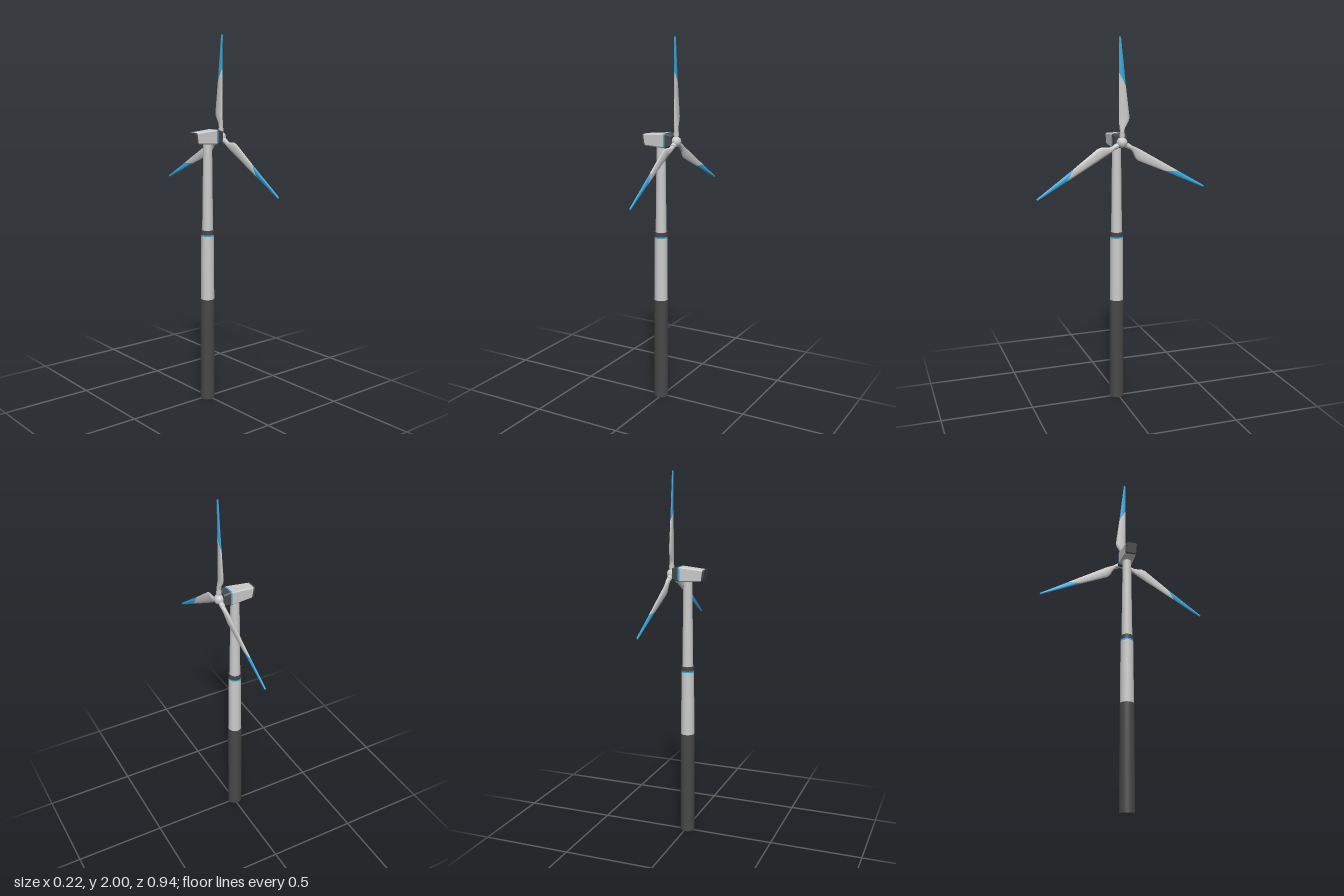
import * as THREE from 'three';
import { toCreasedNormals } from 'three/addons/utils/BufferGeometryUtils.js';

const grey = new THREE.MeshStandardMaterial({ color: 0xcccccc });
const dark = new THREE.MeshStandardMaterial({ color: 0x484848 });
const blue = new THREE.MeshStandardMaterial({ color: 0x3aa8e0 });

const HUB_Y = 1.462;

function add(parent, name, geometry, material) {
  const mesh = new THREE.Mesh(geometry, material);
  mesh.name = name;
  parent.add(mesh);
  return mesh;
}

// Closed skin over rings that run counter-clockwise about the loft direction
function loft(rings, crease) {
  const n = rings[0].length, last = (rings.length - 1) * n, index = [];
  for (let i = 0; i < rings.length - 1; i++) {
    for (let j = 0; j < n; j++) {
      const a = i * n + j, b = i * n + (j + 1) % n;
      index.push(a, b, b + n, a, b + n, a + n);
    }
  }
  for (let j = 1; j < n - 1; j++) {
    index.push(0, j + 1, j, last, last + j, last + j + 1);
  }
  const g = new THREE.BufferGeometry();
  g.setAttribute('position', new THREE.Float32BufferAttribute(rings.flat(2), 3));
  g.setIndex(index);
  return toCreasedNormals(g, crease);
}

// Chamfered rectangle across the nacelle; lean slants the ring in x
function nacelleRing(x, yLow, yHigh, halfZ, lean = 0) {
  const c = 0.006, cy = (yLow + yHigh) / 2, hy = (yHigh - yLow) / 2;
  const corners = [[hy, -halfZ + c], [hy, halfZ - c], [hy - c, halfZ], [-hy + c, halfZ],
    [-hy, halfZ - c], [-hy, -halfZ + c], [-hy + c, -halfZ], [hy - c, -halfZ]];
  return corners.map(([y, z]) => [x - lean * y / hy, cy + y, z]);
}

// Oval blade section between trailing and leading edge; skew lifts the leading edge
function bladeRing(r, trail, lead, halfX, x, skew = 0) {
  const ring = [], n = 12, c = (lead + trail) / 2, a = (lead - trail) / 2;
  for (let i = 0; i < n; i++) {
    const t = (i / n) * Math.PI * 2;
    ring.push([x + halfX * Math.sin(t), r + skew * Math.cos(t), c + a * Math.cos(t)]);
  }
  return ring;
}

function buildTower() {
  const tower = new THREE.Group();
  tower.name = 'tower';
  tower.position.x = -0.008;
  const sections = [
    ['towerBase', 0, 0.575, 0.04, 0.039, dark],
    ['lowerTower', 0.575, 0.93, 0.037, 0.035, grey],
    ['towerBlueRing', 0.93, 0.938, 0.0355, 0.0355, blue],
    ['towerDarkRing', 0.938, 0.962, 0.0355, 0.0355, dark],
    ['upperTower', 0.962, 1.435, 0.03, 0.024, grey],
  ];
  for (const [name, y0, y1, r0, r1, material] of sections) {
    const mesh = add(tower, name, new THREE.CylinderGeometry(r1, r0, y1 - y0, 32), material);
    mesh.position.y = (y0 + y1) / 2;
  }
  return tower;
}

function buildNacelle() {
  const nacelle = new THREE.Group();
  nacelle.name = 'nacelle';
  const back = nacelleRing(-0.106, 1.433, 1.493, 0.03, 0.005);
  const rear = nacelleRing(-0.096, 1.432, 1.494, 0.031, 0.005);
  const bandBack = nacelleRing(0.026, 1.427, 1.505, 0.038);
  const bandFront = nacelleRing(0.035, 1.427, 1.505, 0.038);
  const front = nacelleRing(0.071, 1.435, 1.496, 0.032);
  add(nacelle, 'nacelleRearCap', loft([back, rear], 0.3), dark);
  add(nacelle, 'nacelleBody', loft([rear, bandBack], 0.3), grey);
  add(nacelle, 'nacelleBand', loft([bandBack, bandFront], 0.3), blue);
  add(nacelle, 'nacelleFront', loft([bandFront, front], 0.3), dark);
  return nacelle;
}

function buildRotor() {
  const rotor = new THREE.Group();
  rotor.name = 'rotor';
  rotor.position.set(0.082, HUB_Y, 0);

  // Rounded hub, its axis turned from y to x
  const profile = [[0, -0.014], [0.024, -0.014], [0.027, -0.008], [0.028, 0.002], [0.026, 0.012],
    [0.021, 0.02], [0.012, 0.026], [0, 0.028]].map(([r, y]) => new THREE.Vector2(r, y));
  add(rotor, 'hub', new THREE.LatheGeometry(profile, 24), grey).rotation.z = -Math.PI / 2;

  // Blade skin: round neck, broad shoulder, then a long taper to a blue tip
  const x = -0.002;
  const colourSplit = bladeRing(0.325, -0.022, 0.016, 0.0055, x, 0.035);
  const inner = loft([
    bladeRing(0.06, -0.012, 0.012, 0.012, 0.002),
    bladeRing(0.075, -0.016, 0.014, 0.011, 0.001),
    bladeRing(0.11, -0.038, 0.016, 0.0085, x),
    bladeRing(0.13, -0.042, 0.016, 0.008, x),
    colourSplit,
  ], 0.8);
  const tip = loft([colourSplit, bladeRing(0.538, 0.005, 0.016, 0.0045, x)], 0.8);
  const root = new THREE.CylinderGeometry(0.0115, 0.0115, 0.06, 16).translate(0.002, 0.035, 0);
  const collar = new THREE.CylinderGeometry(0.014, 0.014, 0.018, 16).translate(0.002, 0.038, 0);

  for (let i = 0; i < 3; i++) {
    const blade = new THREE.Group();
    blade.name = 'blade';
    blade.rotation.x = (i * Math.PI * 2) / 3;
    add(blade, 'bladeRoot', root, grey);
    add(blade, 'bladeCollar', collar, grey);
    add(blade, 'bladeInner', inner, grey);
    add(blade, 'bladeTip', tip, blue);
    rotor.add(blade);
  }
  return rotor;
}

export function createModel() {
  const model = new THREE.Group();
  model.name = 'windTurbine';
  const turbine = new THREE.Group();
  turbine.name = 'turbine';
  turbine.position.z = 0.006;
  turbine.add(buildTower(), buildNacelle(), buildRotor());
  model.add(turbine);
  return model;
}
